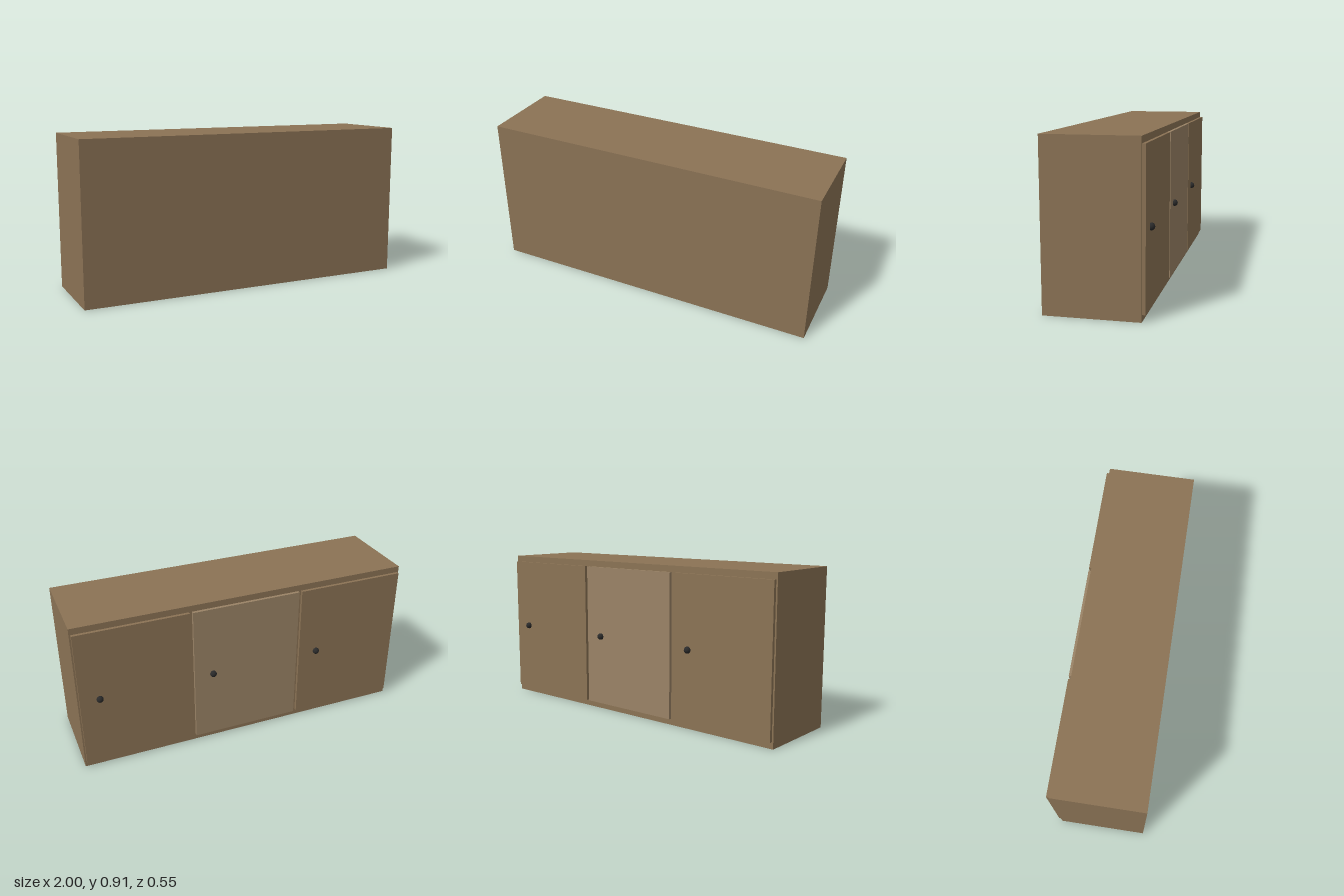
import * as THREE from 'three';

export function createModel() {
  const model = new THREE.Group();
  model.name = 'cabinet';
  const wood = new THREE.MeshStandardMaterial({ color: 0x8b7355 });
  const paleWood = new THREE.MeshStandardMaterial({ color: 0x9a8366 });
  const dark = new THREE.MeshStandardMaterial({ color: 0x2a2a2a });

  const width = 2, height = 0.912;
  const frontZ = 0.277, backZ = -0.235;
  const doorThickness = 0.018, doorHeight = 0.839;
  const pitch = width / 3, doorWidth = pitch - 0.018;

  const add = (name, geometry, material, x, y, z, parent = model) => {
    const mesh = new THREE.Mesh(geometry, material);
    mesh.name = name;
    mesh.position.set(x, y, z);
    parent.add(mesh);
  };

  // Solid carcass
  add('carcass', new THREE.BoxGeometry(width, height, frontZ - backZ), wood,
    0, height / 2, (frontZ + backZ) / 2);

  // Three overlay doors on the -z side, each with a round knob
  const panel = new THREE.BoxGeometry(doorWidth, doorHeight, doorThickness);
  const knob = new THREE.SphereGeometry(0.0195, 16, 12);
  ['right', 'middle', 'left'].forEach((side, i) => {
    const door = new THREE.Group();
    door.name = `${side}Door`;
    door.position.set((i - 1) * pitch, height / 2, backZ - doorThickness / 2);
    add(`${side}DoorPanel`, panel, i === 1 ? paleWood : wood, 0, 0, 0, door);
    add(`${side}Knob`, knob, dark, 0.212, 0, -0.0135, door);
    model.add(door);
  });

  return model;
}
